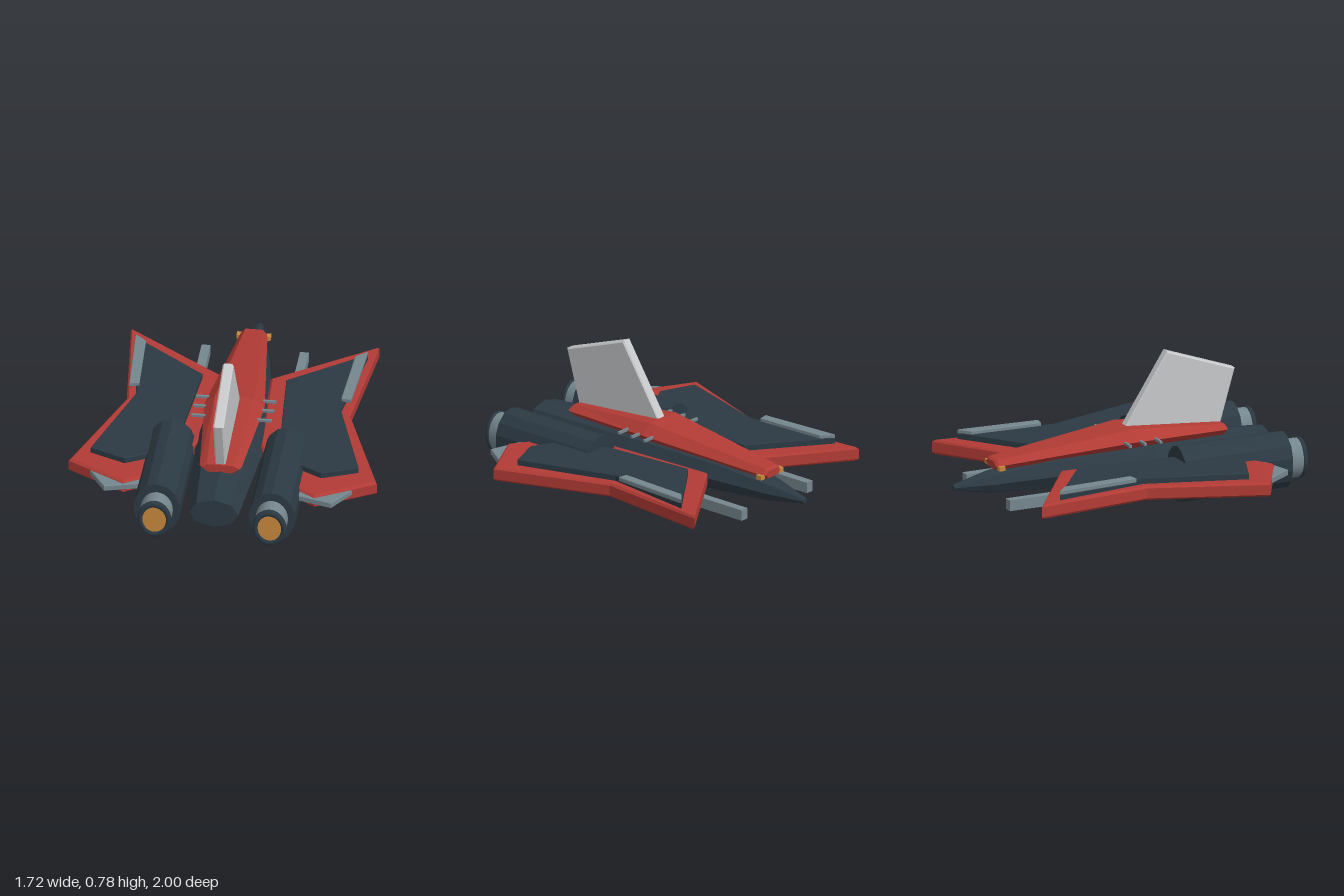
import * as THREE from 'three';

const mat = (name, color) => {
  const m = new THREE.MeshStandardMaterial({ color });
  m.name = name;
  return m;
};

export function createModel() {
  const red = mat('red paint', 0xb23b35);
  const dark = mat('dark slate', 0x2c3a44);
  const steel = mat('steel grey', 0x75868e);
  const pale = mat('pale grey', 0xc6c8c9);
  const amber = mat('amber glow', 0xc9883c);
  const ship = new THREE.Group();
  ship.name = 'spaceship';

  const add = (name, geometry, material, x = 0, y = 0, z = 0) => {
    const mesh = new THREE.Mesh(geometry, material);
    mesh.name = name;
    mesh.position.set(x, y, z);
    ship.add(mesh);
    return mesh;
  };

  // Faceted hull skinned over rings of [x, y] points, ordered by rising z
  const loft = (rings) => {
    const pos = [];
    const n = rings[0].length;
    const tri = (...pts) => pts.forEach((p) => pos.push(...p));
    for (let i = 0; i + 1 < rings.length; i++) {
      for (let j = 0; j < n; j++) {
        const k = (j + 1) % n;
        tri(rings[i][j], rings[i][k], rings[i + 1][k]);
        tri(rings[i][j], rings[i + 1][k], rings[i + 1][j]);
      }
    }
    const first = rings[0], last = rings[rings.length - 1];
    for (let j = 1; j + 1 < n; j++) {
      tri(first[0], first[j + 1], first[j]);
      tri(last[0], last[j], last[j + 1]);
    }
    const g = new THREE.BufferGeometry();
    g.setAttribute('position', new THREE.Float32BufferAttribute(pos, 3));
    g.computeVertexNormals();
    return g;
  };

  // Horizontal plate from an [x, z] outline, between two heights
  const plate = (outline, side, y0, y1, bevel = 0.004) => {
    const shape = new THREE.Shape(outline.map(([x, z]) => new THREE.Vector2(x * side, z)));
    const g = new THREE.ExtrudeGeometry(shape, {
      depth: y1 - y0 - 2 * bevel, bevelSize: bevel, bevelThickness: bevel,
      bevelOffset: -bevel, bevelSegments: 1,
    });
    return g.rotateX(Math.PI / 2).translate(0, y1 - bevel, 0);
  };

  // Eight-sided fuselage: z, half width, half height, centre height
  const hull = [
    [-1, 0.015, 0.014, 0.163], [-0.985, 0.021, 0.02, 0.164], [-0.77, 0.075, 0.066, 0.17],
    [-0.4, 0.145, 0.108, 0.188], [0.17, 0.2, 0.125, 0.19], [0.91, 0.138, 0.088, 0.184],
  ].map(([z, rx, ry, cy]) => Array.from({ length: 8 }, (_, j) => {
    const a = (j * Math.PI) / 4;
    return [rx * Math.cos(a), cy + ry * Math.sin(a), z];
  }));
  add('fuselage', loft(hull), dark);

  // Six-sided spine: z, half width, bottom, middle, top
  const spine = [
    [-0.765, 0.06, 0.25, 0.272, 0.292], [-0.75, 0.075, 0.244, 0.272, 0.302],
    [0.05, 0.168, 0.28, 0.33, 0.388], [0.63, 0.117, 0.274, 0.312, 0.338],
    [0.645, 0.107, 0.28, 0.312, 0.33],
  ].map(([z, w, b, m, t]) => [
    [w, m, z], [w * 0.65, t, z], [-w * 0.65, t, z],
    [-w, m, z], [-w * 0.65, b, z], [w * 0.65, b, z],
  ]);
  add('spine', loft(spine), red);

  // Upright tail fin: outline in [-z, y], extruded across x
  const fin = new THREE.Shape([[-0.63, 0.3], [-0.728, 0.635], [-0.31, 0.785], [-0.03, 0.35]]
    .map((p) => new THREE.Vector2(...p)));
  const finGeo = new THREE.ExtrudeGeometry(fin, {
    depth: 0.044, bevelSize: 0.008, bevelThickness: 0.008, bevelOffset: -0.008, bevelSegments: 1,
  });
  add('tailFin', finGeo.translate(0, 0, -0.022).rotateY(Math.PI / 2), pale);

  const wing = [[0.14, -0.405], [0.695, -0.79], [0.625, -0.105], [0.862, 0.54],
    [0.535, 0.72], [0.3, 0.57], [0.17, 0.25]];
  const panel = [[0.235, -0.345], [0.65, -0.655], [0.572, -0.105], [0.75, 0.46],
    [0.55, 0.54], [0.34, 0.43], [0.275, 0.18]];
  const strip = [[0.585, -0.6], [0.65, -0.655], [0.62, -0.17], [0.565, -0.18]];
  const flap = [[0.42, 0.5], [0.74, 0.6], [0.635, 0.757], [0.44, 0.705]];

  // Round part along z, stretched upright into an oval
  const engineY = 0.166;
  const oval = (r, len, sides) =>
    new THREE.CylinderGeometry(r, r, len, sides).rotateX(Math.PI / 2).scale(1, 1.24, 1).toNonIndexed();
  const flat = (g) => { g.computeVertexNormals(); return g; };

  for (const side of [1, -1]) {
    const tag = side > 0 ? 'left' : 'right';
    const x = 0.322 * side;

    // Wing and its layers
    add(`${tag}Wing`, plate(wing, side, 0.14, 0.222, 0.012), red);
    add(`${tag}WingPanel`, plate(panel, side, 0.215, 0.257), dark);
    add(`${tag}WingStrip`, plate(strip, side, 0.25, 0.277), steel);
    add(`${tag}RearFlap`, plate(flap, side, 0.172, 0.208), steel);

    // Engine
    add(`${tag}Engine`, flat(oval(0.131, 0.655, 14)), dark, x, engineY, 0.5525);
    add(`${tag}Nozzle`, oval(0.09, 0.09, 24), steel, x, engineY, 0.92);
    const ring = new THREE.TorusGeometry(0.079, 0.017, 8, 28).scale(1, 1.22, 1);
    add(`${tag}NozzleRing`, ring, dark, x, engineY, 0.978);
    add(`${tag}EngineGlow`, oval(0.066, 0.03, 24), amber, x, engineY, 0.973);

    // Gun, nose lamp and spine pegs
    add(`${tag}Gun`, new THREE.BoxGeometry(0.05, 0.062, 0.475), steel, 0.275 * side, 0.112, -0.557);
    add(`${tag}NoseLamp`, new THREE.BoxGeometry(0.034, 0.026, 0.036), amber, 0.078 * side, 0.262, -0.74);
    for (const z of [-0.012, 0.08, 0.175]) {
      add(`${tag}Peg`, new THREE.BoxGeometry(0.09, 0.014, 0.015), steel, 0.18 * side, 0.33, z);
    }
  }
  return ship;
}
